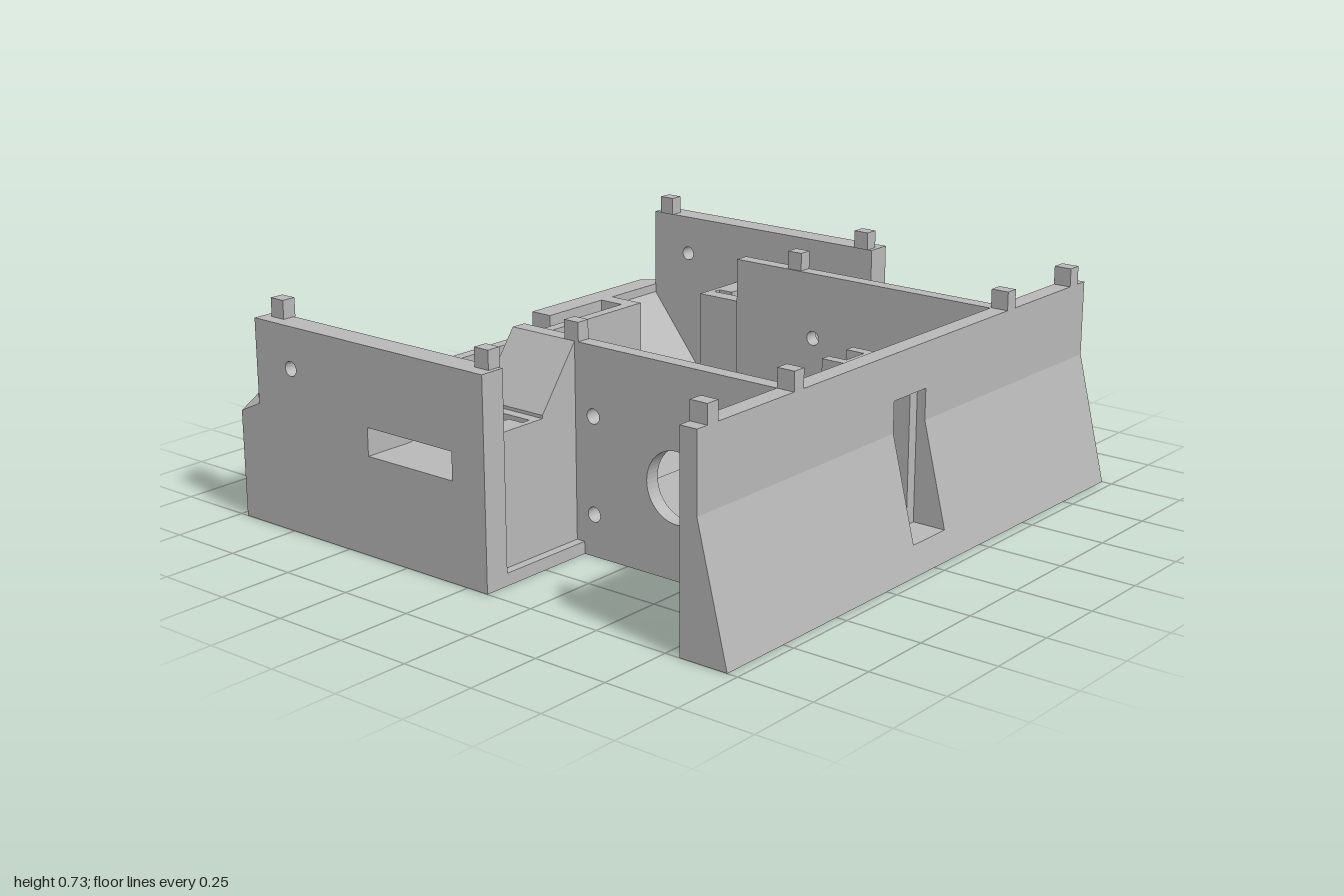
import * as THREE from 'three';
import { ConvexGeometry } from 'three/addons/geometries/ConvexGeometry.js';

export function createModel() {
  const model = new THREE.Group();
  model.name = 'chassis';
  const grey = new THREE.MeshStandardMaterial({ color: 0xb8b8b8 });
  grey.name = 'grey plastic';

  const add = (name, geometry) => {
    const mesh = new THREE.Mesh(geometry, grey);
    mesh.name = name;
    model.add(mesh);
    return mesh;
  };
  const box = (name, x0, x1, y0, y1, z0, z1) => {
    const g = new THREE.BoxGeometry(x1 - x0, y1 - y0, Math.abs(z1 - z0));
    return add(name, g.translate((x0 + x1) / 2, (y0 + y1) / 2, (z0 + z1) / 2));
  };
  const poly = (pts) => new THREE.Shape(pts.map(([a, b]) => new THREE.Vector2(a, b)));
  const rect = (a0, a1, b0, b1) => [[a0, b0], [a1, b0], [a1, b1], [a0, b1]];
  const circle = (a, b, r) => new THREE.Path().absarc(a, b, r, 0, Math.PI * 2, true);
  const extrude = (pts, depth, holes) => {
    const shape = poly(pts);
    shape.holes.push(...holes);
    return new THREE.ExtrudeGeometry(shape, { depth, bevelEnabled: false, curveSegments: 24 });
  };
  // Profile in x,y swept along z
  const alongZ = (name, pts, z0, z1, holes = []) =>
    add(name, extrude(pts, Math.abs(z1 - z0), holes).translate(0, 0, Math.min(z0, z1)));
  // Plan in x,z swept up y
  const alongY = (name, pts, y0, y1, holes = []) =>
    add(name, extrude(pts.map(([x, z]) => [x, -z]), y1 - y0, holes).rotateX(-Math.PI / 2).translate(0, y0, 0));
  // Profile in z,y swept along x
  const alongX = (name, pts, x0, x1, holes = []) =>
    add(name, extrude(pts.map(([z, y]) => [-z, y]), x1 - x0, holes).rotateY(Math.PI / 2).translate(x0, 0, 0));

  const H = 0.665, FLOOR = 0.04, LEDGE = 0.39;

  // Floor with a raised plate that ramps down to the front plate
  box('rearFloor', -0.97, 0.08, 0, FLOOR, -1, 1);
  alongZ('raisedFloor', [[-0.03, 0], [0.8, 0], [0.8, 0.015], [0.69, 0.09], [-0.03, 0.09]], -0.53, 0.53);

  // Low bumper wall with two screw holes
  alongX('bumperWall', rect(-0.67, 0.67, 0, LEDGE), -0.79, -0.75, [circle(-0.28, 0.32, 0.022), circle(0.28, 0.32, 0.022)]);

  for (const s of [1, -1]) {
    // Tall outer wall with sensor slot and screw hole
    alongZ('sideWall', rect(-0.885, 0.08, 0, H), s * 0.915, s, [
      new THREE.Path(rect(-0.4, -0.05, 0.32, 0.41).map(([a, b]) => new THREE.Vector2(a, b))),
      circle(-0.73, 0.53, 0.024),
    ]);

    // Inner wall with motor and screw holes
    alongZ('motorWall', rect(-0.2, 0.8, 0, H), s * 0.525, s * 0.575, [
      circle(0.44, 0.29, 0.113),
      ...[0.12, 0.565].flatMap((x) => [0.135, 0.445].map((y) => circle(x, y, 0.024))),
    ]);

    // Sloped column beside the inner wall
    alongX('wallColumn', [[s * 0.575, 0], [s * 0.72, 0], [s * 0.72, 0.47], [s * 0.575, H]], -0.2, 0.05);

    // Side sensor holder with a stepped pocket
    box('sensorHolderBase', -0.5, 0.05, 0, 0.32, s * 0.7, s * 0.915);
    alongY('sensorHolderRim', [
      [-0.5, 0.7], [0.05, 0.7], [0.05, 0.915], [-0.05, 0.915], [-0.05, 0.82], [-0.025, 0.82],
      [-0.025, 0.785], [0.03, 0.785], [0.03, 0.755], [-0.48, 0.755], [-0.48, 0.785], [-0.425, 0.785],
      [-0.425, 0.82], [-0.4, 0.82], [-0.4, 0.915], [-0.5, 0.915],
    ].map(([x, z]) => [x, s * z]), 0.32, 0.46);

    // Rear ledge with a clipped outer corner
    const corners = [];
    for (const x of [-0.97, -0.885]) {
      corners.push([x, 0, 0.335], [x, LEDGE, 0.335], [x, 0, 1]);
    }
    corners.push([-0.97, 0.35, 1], [-0.97, LEDGE, 0.93], [-0.885, LEDGE, 1]);
    add('rearLedge', new ConvexGeometry(corners.map(([x, y, z]) => new THREE.Vector3(x, y, s * z))));
    box('pocketEnd', -0.885, -0.79, 0, LEDGE, s * 0.61, s * 0.67);

    // Corner gusset sloping down to the floor
    alongZ('cornerGusset', [[-0.885, 0], [-0.63, 0], [-0.63, FLOOR], [-0.885, 0.36]], s * 0.665, s * 0.915);

    // Front plate, upright with a flared foot
    const plate = [[0.8, 0], [0.965, 0], [0.86, 0.42], [0.86, H], [0.8, H]];
    alongZ('frontPlate', plate, s * 0.083, s);
    box('slotCheek', 0.8, 0.83, 0.09, 0.52, s * 0.045, s * 0.083);

    // Locating pegs on the wall tops
    for (const [x0, x1, z0, z1] of [
      [-0.855, -0.8, 0.91, 0.957], [0.01, 0.065, 0.91, 0.957], [0.01, 0.065, 0.53, 0.575],
      [0.8, 0.86, 0.91, 0.957], [0.8, 0.86, 0.53, 0.575],
    ]) box('peg', x0, x1, H, 0.725, s * z0, s * z1);
  }

  // Front plate above and below the sensor slot
  alongZ('slotFoot', [[0.8, 0], [0.965, 0], [0.9425, 0.09], [0.8, 0.09]], -0.083, 0.083);
  box('slotHead', 0.8, 0.86, 0.52, H, -0.083, 0.083);
  box('slotSill', 0.8, 0.83, 0.09, 0.13, -0.045, 0.045);

  // Front sensor holder, open to the slot
  box('frontHolderBase', 0.56, 0.8, 0, 0.13, -0.135, 0.135);
  alongY('frontHolder', [
    [0.56, -0.135], [0.8, -0.135], [0.8, -0.045], [0.745, -0.045],
    [0.745, 0.045], [0.8, 0.045], [0.8, 0.135], [0.56, 0.135],
  ], 0.13, 0.52);
  alongY('frontHolderCap', [
    [0.595, -0.08], [0.745, -0.08], [0.745, 0.08], [0.595, 0.08],
    [0.595, 0.045], [0.66, 0.045], [0.66, -0.045], [0.595, -0.045],
  ], 0.52, 0.6);

  return model;
}
